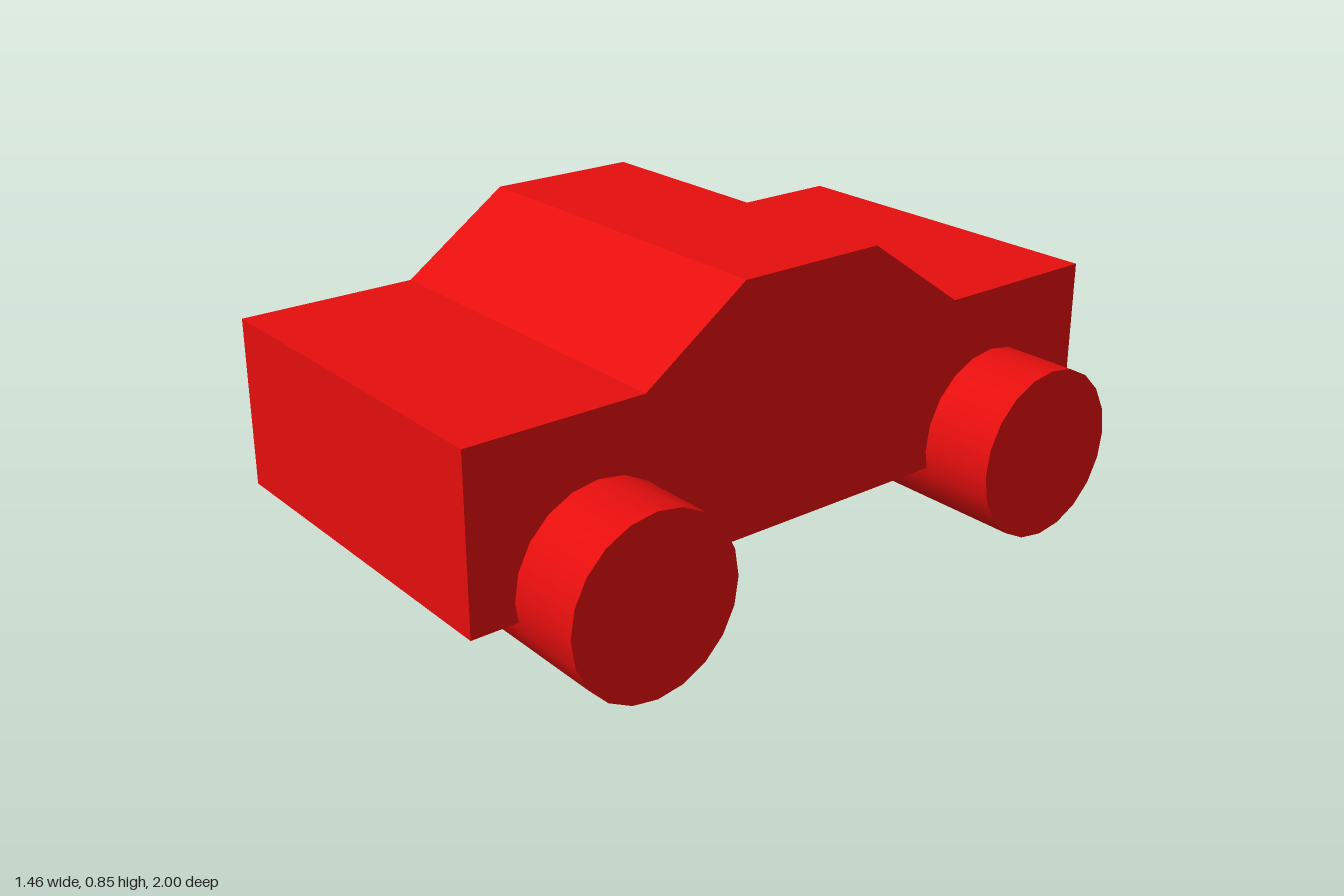
import * as THREE from 'three';

export function createModel() {
  const model = new THREE.Group();
  model.name = 'car';
  const paint = new THREE.MeshStandardMaterial({ color: 0xe60e0e });

  const add = (name, geometry) => {
    const mesh = new THREE.Mesh(geometry, paint);
    mesh.name = name;
    model.add(mesh);
    return mesh;
  };

  // Body: side profile as (z, y), extruded across the width
  const width = 1.034;
  const profile = [
    [1, 0.185], [1, 0.645], [0.51, 0.645], [0.213, 0.853],
    [-0.213, 0.853], [-0.51, 0.645], [-1, 0.645], [-1, 0.185],
  ];
  const shape = new THREE.Shape(profile.map(([z, y]) => new THREE.Vector2(z, y)));
  const body = new THREE.ExtrudeGeometry(shape, { depth: width, bevelEnabled: false });
  body.rotateY(-Math.PI / 2).translate(width / 2, 0, 0);
  add('body', body);

  // Wheels: one full-width roller per axle
  const radius = 0.236;
  const roller = new THREE.CylinderGeometry(radius, radius, 1.458, 20);
  roller.rotateZ(Math.PI / 2);
  for (const [name, z] of [['frontWheels', 0.645], ['rearWheels', -0.667]]) {
    add(name, roller).position.set(0, radius, z);
  }

  return model;
}
